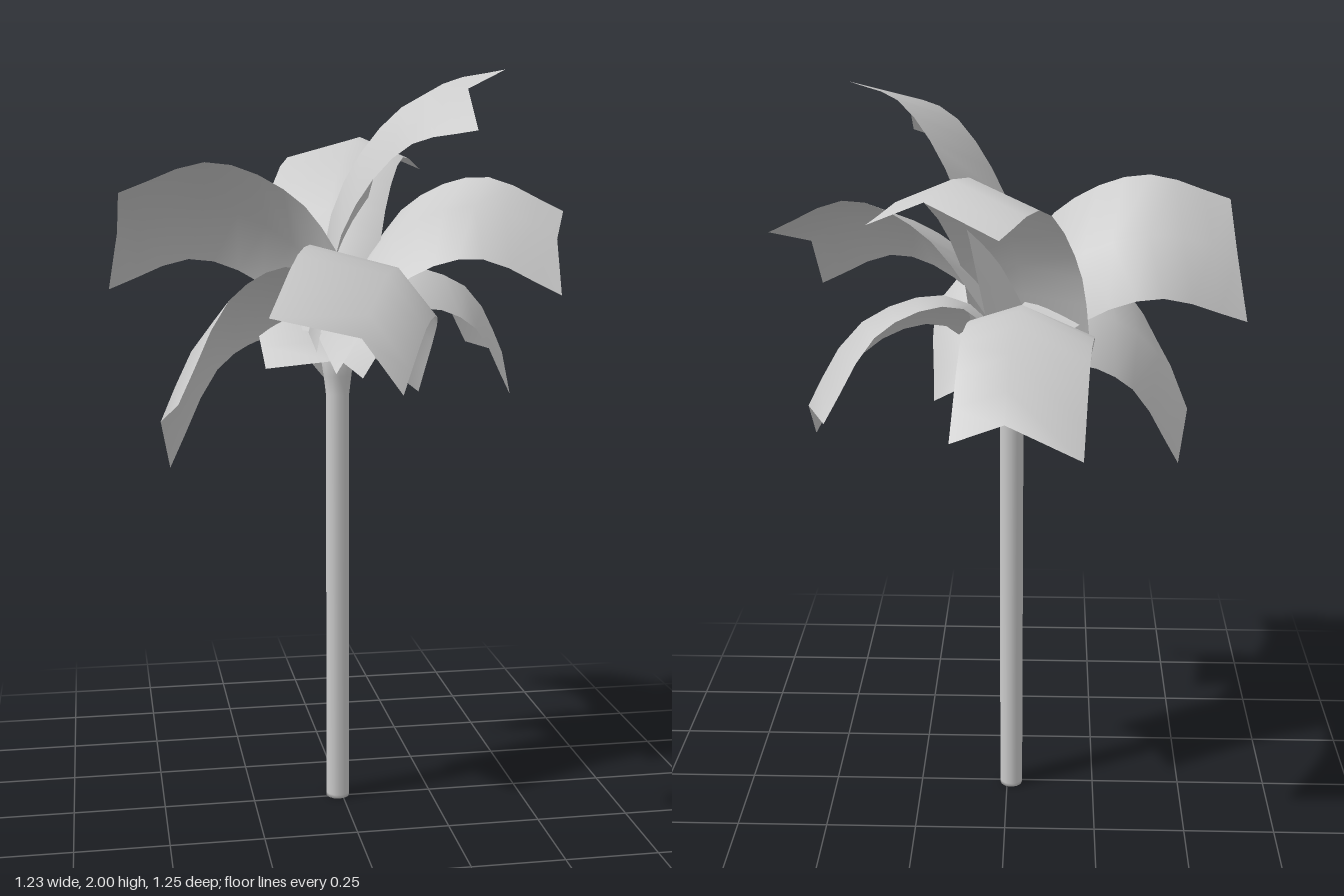
import * as THREE from 'three';

const V = (p) => new THREE.Vector3(...p);

// A leaf: a creased strip of constant width swept along a curved centre line.
// chord is the vector across the leaf; the crease rises above it off-centre
// and is set back along the leaf, which notches the tip.
function leafGeometry(path, chord, steps = 10, crease = 0.6, rise = 0.055, setBack = 0.038) {
  const curve = new THREE.CatmullRomCurve3(path.map(V));
  const across = V(chord);
  const normalAt = (t) => across.clone().cross(curve.getTangent(t)).normalize();
  const sign = normalAt(1).y < 0 ? -1 : 1;
  const positions = [], index = [];
  for (let i = 0; i <= steps; i++) {
    const t = i / steps;
    const centre = curve.getPoint(t);
    const lift = normalAt(t).multiplyScalar(sign * rise).addScaledVector(curve.getTangent(t), -setBack);
    for (const f of [0, crease, 1]) {
      const p = centre.clone().addScaledVector(across, f - 0.5);
      if (f === crease) p.add(lift);
      positions.push(p.x, p.y, p.z);
    }
  }
  for (let i = 0; i < steps; i++) {
    for (let j = 0; j < 2; j++) {
      const a = i * 3 + j, b = a + 1, c = a + 3, d = a + 4;
      if (sign > 0) index.push(a, b, c, b, d, c);
      else index.push(a, c, b, b, c, d);
    }
  }
  const g = new THREE.BufferGeometry();
  g.setAttribute('position', new THREE.Float32BufferAttribute(positions, 3));
  g.setIndex(index);
  g.computeVertexNormals();
  return g;
}

// Centre line from trunk to tip, and the vector across each leaf
const LEAVES = [
  { name: 'leafRightUpper', chord: [-0.025, -0.26, -0.287],
    path: [[-0.02, 1.35, 0.055], [-0.15, 1.54, 0], [-0.36, 1.635, -0.04], [-0.602, 1.56, 0.025]] },
  { name: 'leafBackUpper', chord: [0.31, 0, 0.16],
    path: [[-0.065, 1.33, -0.05], [-0.03, 1.59, -0.17], [0.06, 1.775, -0.36], [0.155, 1.745, -0.55]] },
  { name: 'leafTop', chord: [-0.14, -0.16, 0.276],
    path: [[-0.02, 1.36, 0], [0.057, 1.69, -0.005], [0.19, 1.88, 0.1], [0.34, 1.92, 0.238]] },
  { name: 'leafLeftUpper', chord: [-0.09, -0.204, 0.293],
    path: [[0, 1.33, 0.03], [0.16, 1.55, 0.01], [0.35, 1.625, 0.07], [0.569, 1.532, 0.12]] },
  { name: 'leafFront', chord: [0.3, -0.174, 0.09],
    path: [[0.05, 1.245, 0], [0.055, 1.455, 0.2], [-0.01, 1.465, 0.38], [-0.11, 1.323, 0.575]] },
  { name: 'leafRightLower', chord: [-0.01, -0.205, -0.25],
    path: [[-0.01, 1.26, 0.03], [-0.15, 1.4, 0.045], [-0.31, 1.34, 0.085], [-0.465, 1.078, 0.195]] },
  { name: 'leafLeftLower', chord: [0.063, -0.12, 0.278],
    path: [[0, 1.27, 0], [0.15, 1.435, -0.1], [0.33, 1.39, -0.17], [0.468, 1.18, -0.256]] },
  { name: 'leafBackLower', chord: [0.315, 0.035, 0.02],
    path: [[-0.05, 1.24, 0.01], [-0.07, 1.41, -0.14], [-0.055, 1.425, -0.35], [-0.037, 1.235, -0.575]] },
];

export function createModel() {
  const model = new THREE.Group();
  model.name = 'palmTree';
  const bark = new THREE.MeshStandardMaterial({ color: 0xcccccc });
  const foliage = new THREE.MeshStandardMaterial({ color: 0xcccccc, side: THREE.DoubleSide });

  // Trunk: straight pole flaring where the leaves start
  const profile = [[0, 0], [0.032, 0], [0.032, 0.01], [0.032, 1.15], [0.038, 1.2], [0.055, 1.31], [0, 1.31]];
  const trunk = new THREE.Mesh(
    new THREE.LatheGeometry(profile.map(([r, y]) => new THREE.Vector2(r, y)), 12), bark);
  trunk.name = 'trunk';
  trunk.position.set(-0.012, 0, -0.008);
  model.add(trunk);

  // Crown of drooping leaves
  const crown = new THREE.Group();
  crown.name = 'crown';
  for (const { name, path, chord } of LEAVES) {
    const leaf = new THREE.Mesh(leafGeometry(path, chord), foliage);
    leaf.name = name;
    crown.add(leaf);
  }
  model.add(crown);
  return model;
}
